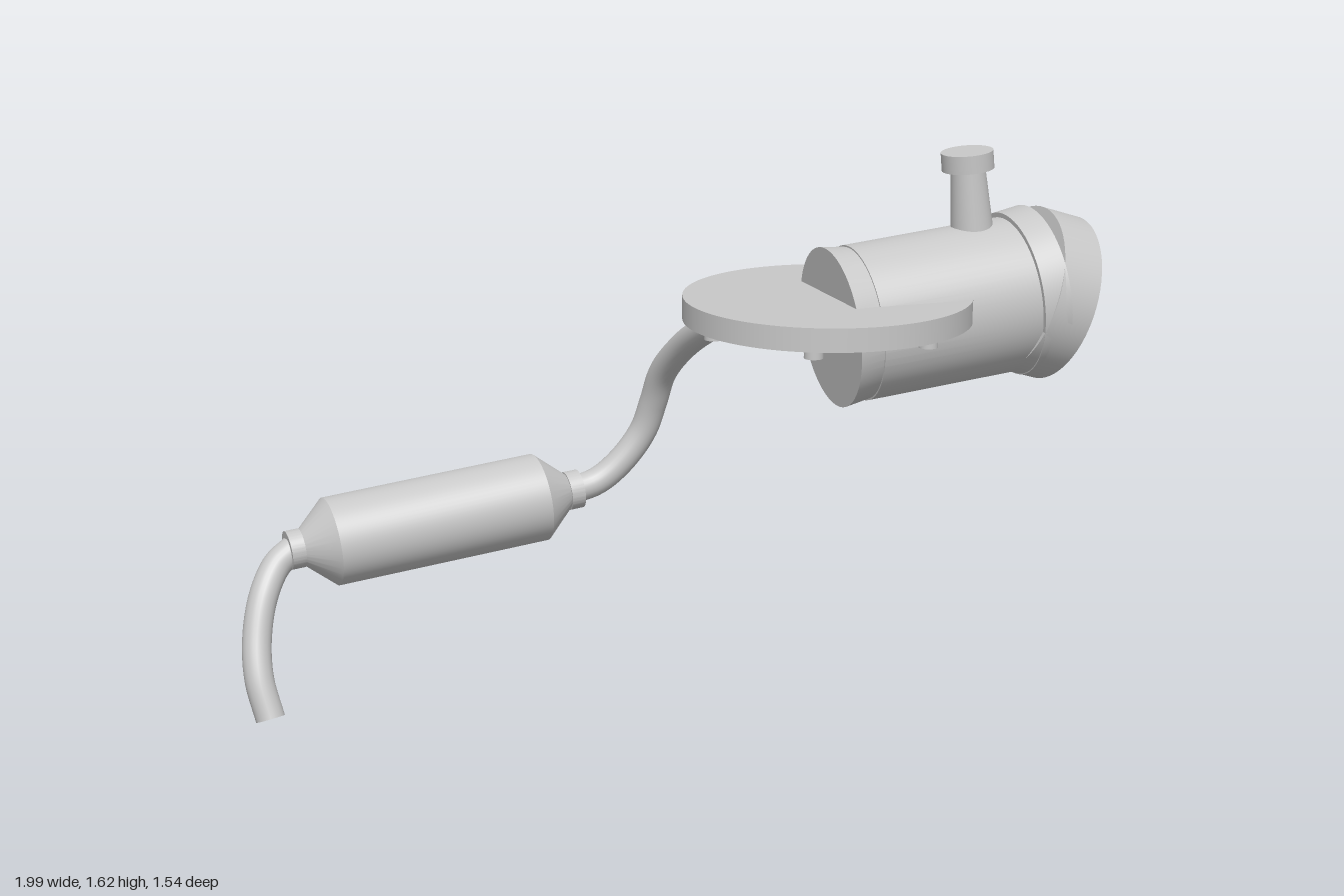
import * as THREE from 'three';
import { toCreasedNormals } from 'three/addons/utils/BufferGeometryUtils.js';

const metal = new THREE.MeshStandardMaterial({ color: 0xc8c8c8 });
metal.name = 'light grey metal';

function mesh(name, geometry, parent, x = 0, y = 0, z = 0) {
  const m = new THREE.Mesh(geometry, metal);
  m.name = name;
  m.position.set(x, y, z);
  parent.add(m);
  return m;
}

// Closed solid of revolution along +x from [position, radius] pairs, with sharp rims
function turned(profile) {
  const pts = profile.map(([a, r]) => new THREE.Vector2(r, a));
  pts.unshift(new THREE.Vector2(0, profile[0][0]));
  pts.push(new THREE.Vector2(0, profile[profile.length - 1][0]));
  return new THREE.LatheGeometry(pts, 64).rotateZ(-Math.PI / 2);
}
const crisp = (g) => toCreasedNormals(g, 0.15);

// Smooth bent pipe with closed ends
function pipe(name, points, radius, parent) {
  const curve = new THREE.CatmullRomCurve3(points.map((p) => new THREE.Vector3(...p)));
  const group = new THREE.Group();
  group.name = name;
  parent.add(group);
  mesh(name + 'Wall', new THREE.TubeGeometry(curve, 80, radius, 24), group);
  for (const [t, sign] of [[0, -1], [1, 1]]) {
    const end = mesh(name + 'End', new THREE.CircleGeometry(radius, 24), group);
    end.position.copy(curve.getPointAt(t));
    const dir = curve.getTangentAt(t).multiplyScalar(sign);
    end.quaternion.setFromUnitVectors(new THREE.Vector3(0, 0, 1), dir);
  }
}

export function createModel() {
  const model = new THREE.Group();
  model.name = 'exhaustAssembly';

  // Round mounting plate with a ring of bolts underneath
  const cx = 0.29, cz = 0.405;
  mesh('mountingPlate', new THREE.CylinderGeometry(0.362, 0.362, 0.06, 96), model, cx, 1.26, cz);
  for (let i = 0; i < 6; i++) {
    const a = (i * Math.PI) / 3;
    mesh('plateBolt', new THREE.CylinderGeometry(0.024, 0.024, 0.03, 24), model,
      cx + 0.305 * Math.cos(a), 1.218, cz + 0.305 * Math.sin(a));
  }

  // Tilted housing, slightly narrowed in z towards its inner end
  const housing = new THREE.Group();
  housing.name = 'housing';
  housing.position.set(0.3, 1.206, cz);
  housing.rotation.z = THREE.MathUtils.degToRad(5.4);
  model.add(housing);
  const body = turned([[0, 0.204], [0.065, 0.194], [0.065, 0.198], [0.494, 0.197],
    [0.494, 0.209], [0.565, 0.217]]);
  const pos = body.attributes.position;
  for (let i = 0; i < pos.count; i++) {
    const t = Math.min(1, Math.max(0, pos.getX(i) / 0.49));
    pos.setZ(i, pos.getZ(i) * (0.91 + 0.08 * t));
  }
  mesh('housingBody', crisp(body), housing);

  // Filler neck and its cap
  mesh('fillerNeck', new THREE.CylinderGeometry(0.043, 0.056, 0.2, 40), housing, 0.404, 0.25, 0);
  mesh('fillerCap', new THREE.CylinderGeometry(0.066, 0.066, 0.046, 48), housing, 0.404, 0.363, 0);

  // Angled outlet collar
  const collar = mesh('outletCollar', crisp(turned([[-0.11, 0.213], [0, 0.213]])), model, 0.926, 1.233, cz);
  collar.rotation.z = THREE.MathUtils.degToRad(-18);

  // Round flange on the back of the housing
  const flange = mesh('sideFlange', new THREE.CylinderGeometry(0.122, 0.122, 0.06, 64), model, 0.547, 1.23, 0.193);
  flange.rotation.x = Math.PI / 2;

  // Downpipe from the housing to the muffler
  pipe('downPipe', [
    [0.295, 1.215, 0.22], [0.285, 1.19, 0.07], [0.27, 1.14, -0.1], [0.25, 1.06, -0.28],
    [0.235, 0.97, -0.44], [0.22, 0.87, -0.555], [0.212, 0.78, -0.602], [0.19, 0.69, -0.628],
    [0.13, 0.605, -0.642], [0.06, 0.55, -0.65], [-0.02, 0.528, -0.653],
  ], 0.039, model);

  // Muffler drum with cones and end collars
  const muffler = mesh('muffler', crisp(turned([
    [-0.425, 0.054], [-0.386, 0.054], [-0.386, 0.05], [-0.304, 0.123],
    [0.304, 0.123], [0.386, 0.05], [0.386, 0.054], [0.425, 0.054],
  ])), model, -0.4145, 0.488, -0.653);
  muffler.rotation.z = THREE.MathUtils.degToRad(6);

  // Tail pipe
  pipe('tailPipe', [
    [-0.82, 0.447, -0.653], [-0.87, 0.41, -0.645], [-0.92, 0.335, -0.61],
    [-0.952, 0.23, -0.568], [-0.96, 0.13, -0.525], [-0.942, 0.027, -0.487],
  ], 0.04, model);

  return model;
}
